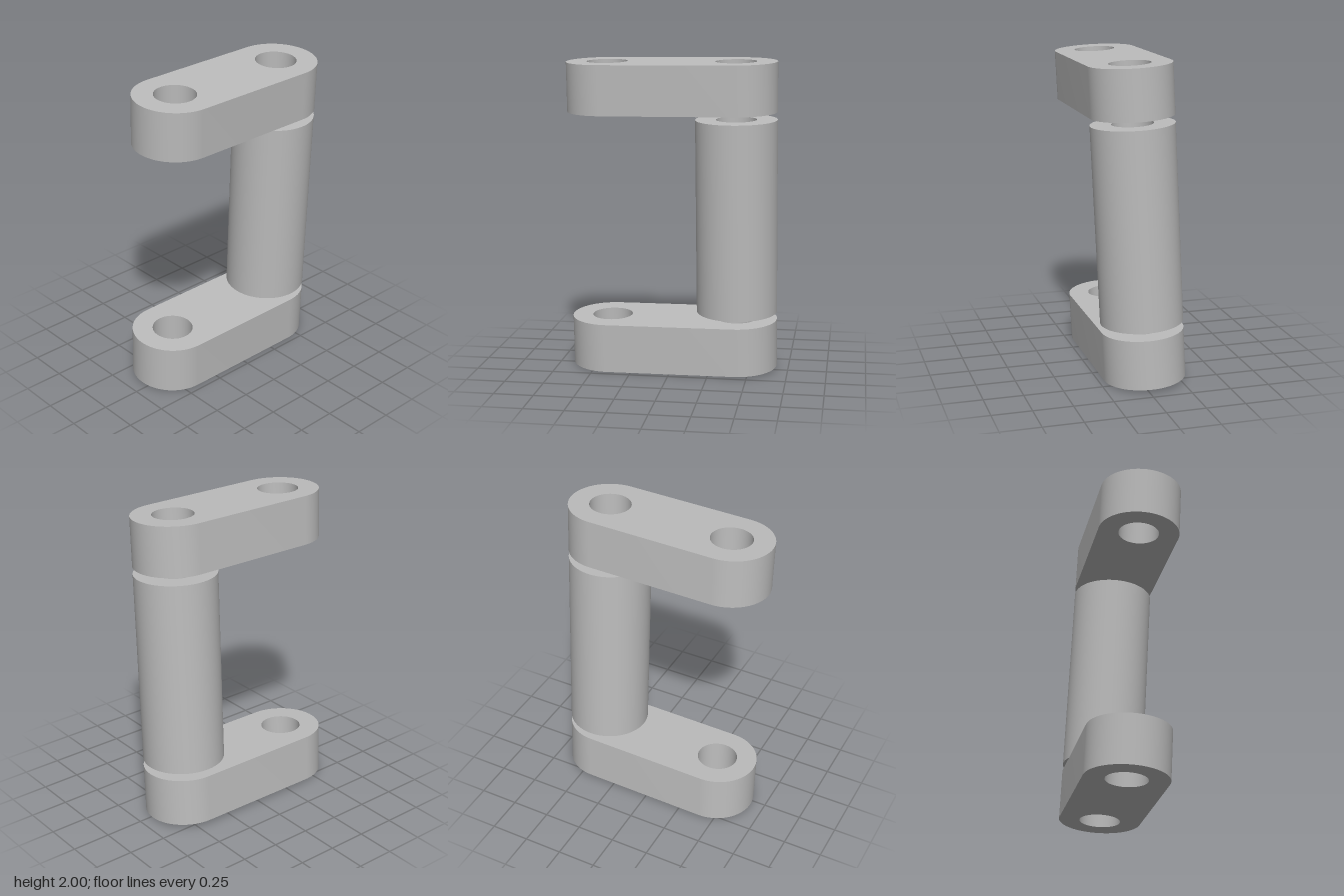
import * as THREE from 'three';
import { toCreasedNormals } from 'three/addons/utils/BufferGeometryUtils.js';

const R = 0.26;         // outer radius of link ends and sleeve
const BORE = 0.13;      // hole radius
const REACH = 0.41;     // hole distance from the middle
const LINK_H = 0.315;
const SLEEVE_H = 1.247;
const GAP = 0.05;

// Upright rounded slab from x = x0 to x1 with a bore at each given x
function boredSlab(x0, x1, bores, height) {
  const shape = new THREE.Shape();
  shape.absarc(x1, 0, R, -Math.PI / 2, Math.PI / 2, false);
  shape.absarc(x0, 0, R, Math.PI / 2, Math.PI * 1.5, false);
  for (const x of bores) {
    shape.holes.push(new THREE.Path().absarc(x, 0, BORE, 0, Math.PI * 2, true));
  }
  const geo = new THREE.ExtrudeGeometry(shape, { depth: height, bevelEnabled: false, curveSegments: 24 });
  geo.translate(0, 0, -height / 2);
  geo.rotateX(-Math.PI / 2);
  return toCreasedNormals(geo, 0.6);
}

export function createModel() {
  const model = new THREE.Group();
  model.name = 'chainLink';
  const grey = new THREE.MeshStandardMaterial({ color: 0xbcbcbc });
  grey.name = 'grey';

  // The whole assembly leans slightly forward
  const assembly = new THREE.Group();
  assembly.name = 'assembly';
  assembly.position.y = 1;
  assembly.rotation.set(0.048, -0.007, 0.006);
  model.add(assembly);

  const add = (name, geo, y) => {
    const mesh = new THREE.Mesh(geo, grey);
    mesh.name = name;
    mesh.position.y = y;
    assembly.add(mesh);
  };

  // Two link plates with a loose sleeve between them
  const plate = boredSlab(-REACH, REACH, [-REACH, REACH], LINK_H);
  const plateY = SLEEVE_H / 2 + GAP + LINK_H / 2;
  add('upperLinkPlate', plate, plateY);
  add('lowerLinkPlate', plate, -plateY);
  add('sleeve', boredSlab(REACH, REACH, [REACH], SLEEVE_H), 0);

  return model;
}
